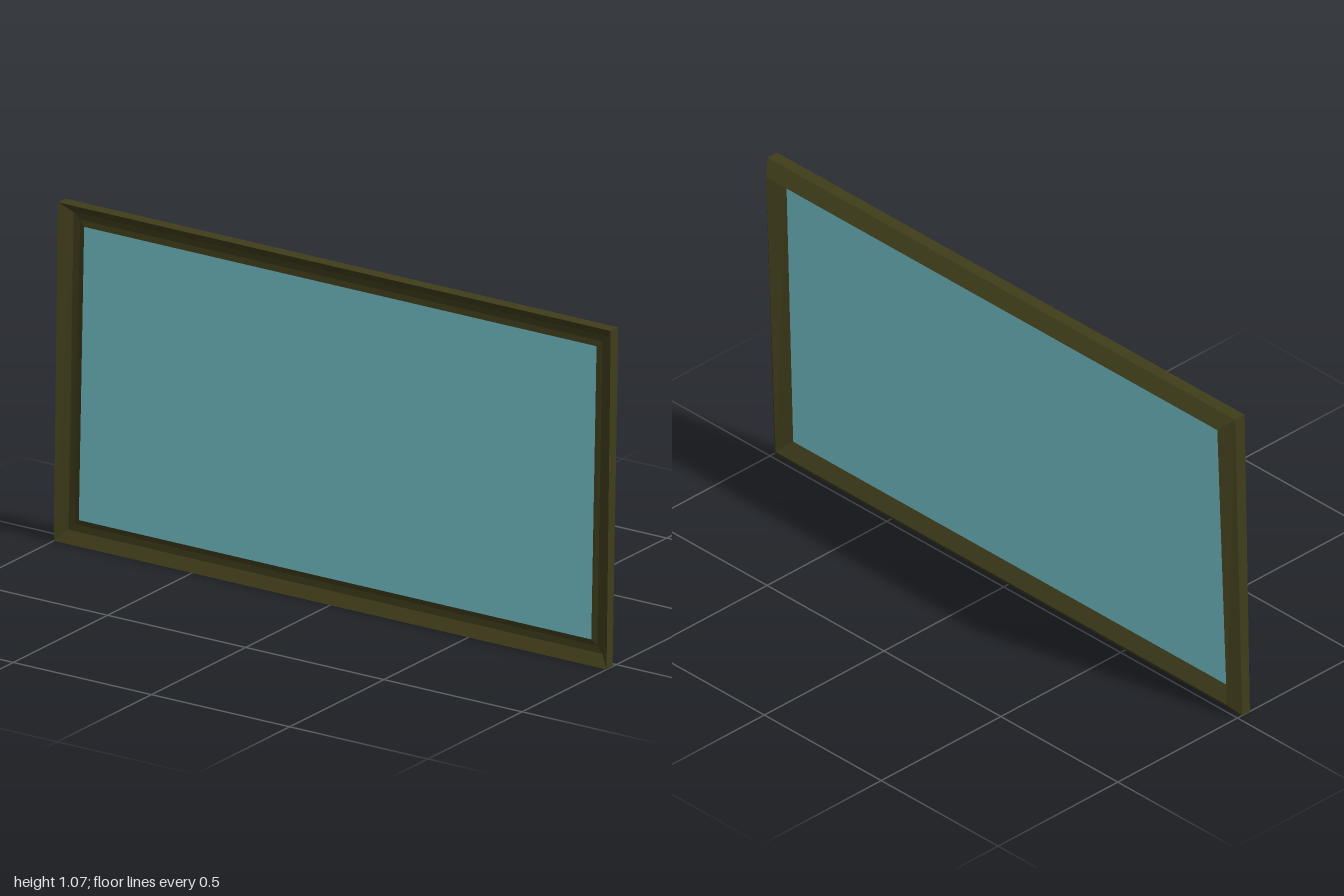
import * as THREE from 'three';

const HEIGHT = 1.07;

// Frame section: [inset from the outer edge, z at the bottom, z at the top]
const SECTION = [
  [0, 0.052, 0.03],        // outer front edge
  [0, 0.02, -0.01],        // outer rear edge
  [0.035, -0.01, -0.05],   // rear ridge
  [0.073, 0.026, -0.002],  // inner edge, holds the pane
  [0.055, 0.021, -0.007],  // lip foot
  [0.034, 0.024, -0.004],  // front groove
];

// Four mitred corners of one section point, anticlockwise from the front
function ring([inset, zBottom, zTop]) {
  const x = 1 - inset;
  return [[-x, inset, zBottom], [x, inset, zBottom], [x, HEIGHT - inset, zTop], [-x, HEIGHT - inset, zTop]];
}

function meshFrom(name, positions, material) {
  const geometry = new THREE.BufferGeometry();
  geometry.setAttribute('position', new THREE.Float32BufferAttribute(positions, 3));
  geometry.computeVertexNormals();
  const mesh = new THREE.Mesh(geometry, material);
  mesh.name = name;
  return mesh;
}

export function createModel() {
  const group = new THREE.Group();
  group.name = 'framedPane';
  const frameMaterial = new THREE.MeshStandardMaterial({ color: 0x403d1b, flatShading: true });
  const glassMaterial = new THREE.MeshStandardMaterial({ color: 0x7fd6de, side: THREE.DoubleSide });

  // Four mitred bars
  const rings = SECTION.map(ring);
  ['bottomBar', 'leftBar', 'topBar', 'rightBar'].forEach((name, i) => {
    const positions = [];
    const j = (i + 1) % 4;
    rings.forEach((r, k) => {
      const next = rings[(k + 1) % rings.length];
      positions.push(...r[i], ...next[i], ...next[j], ...r[i], ...next[j], ...r[j]);
    });
    group.add(meshFrom(name, positions, frameMaterial));
  });

  // Pane across the inner edge
  const [a, b, c, d] = rings[3];
  group.add(meshFrom('glassPane', [...a, ...b, ...c, ...a, ...c, ...d], glassMaterial));
  return group;
}
